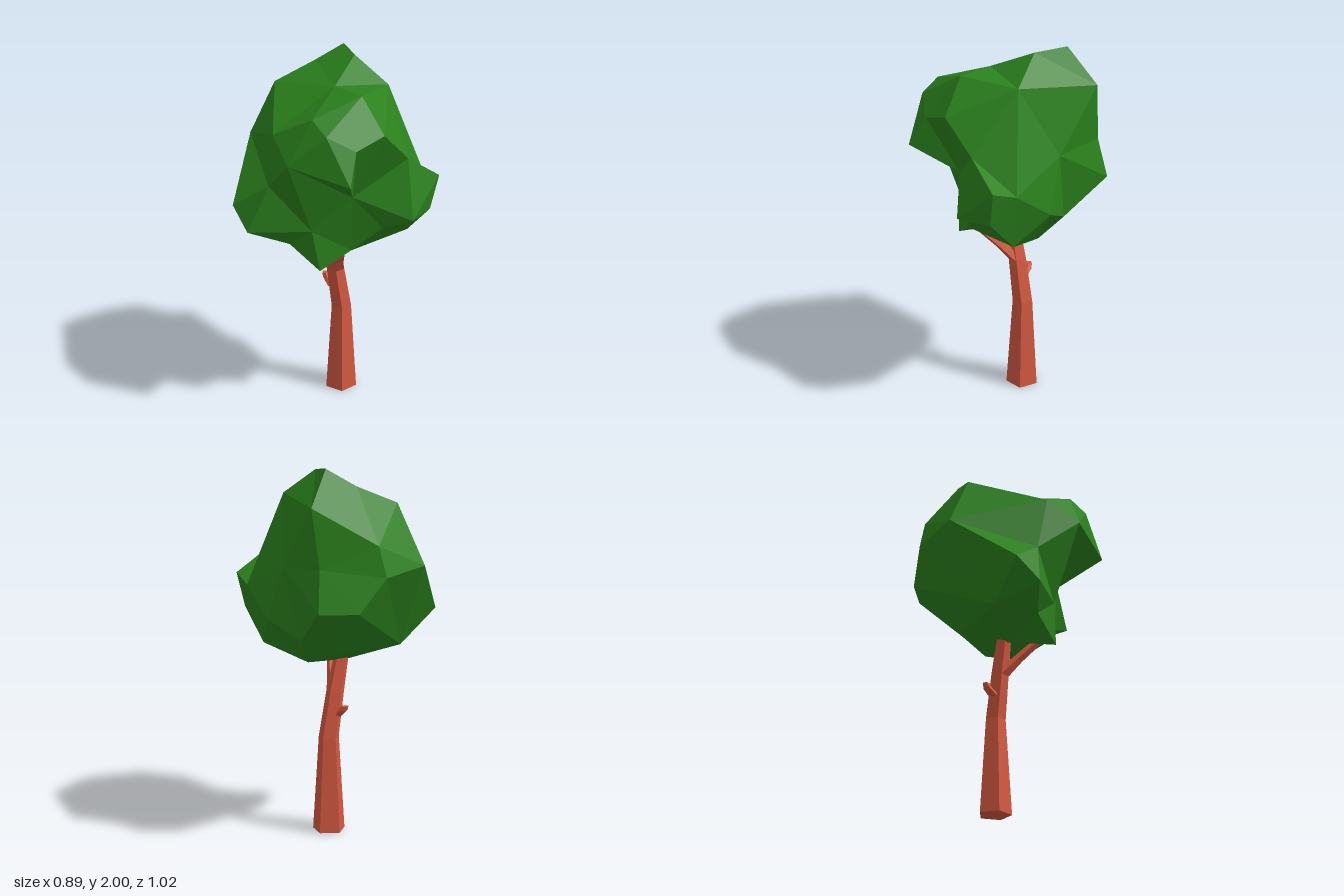
import * as THREE from 'three';
import { ConvexGeometry } from 'three/addons/geometries/ConvexGeometry.js';

const bark = new THREE.MeshStandardMaterial({ color: 0xd2583f, flatShading: true });
const leaf = new THREE.MeshStandardMaterial({ color: 0x2b821d, flatShading: true });

// Five-sided limb through level sections [x, y, z, radius], listed upwards.
function limb(name, sections) {
  const sides = 5, pos = [], index = [];
  for (const [x, y, z, r] of sections) {
    for (let i = 0; i < sides; i++) {
      const a = Math.PI * (1 + 2 * i / sides); // first corner at the back
      pos.push(x + r * Math.sin(a), y, z + r * Math.cos(a));
    }
  }
  const last = (sections.length - 1) * sides;
  for (let k = 0; k < last; k += sides) {
    for (let i = 0; i < sides; i++) {
      const j = (i + 1) % sides;
      index.push(k + i, k + j, k + sides + j, k + i, k + sides + j, k + sides + i);
    }
  }
  for (let i = 1; i < sides - 1; i++) {
    index.push(0, i + 1, i, last, last + i, last + i + 1);
  }
  const geo = new THREE.BufferGeometry();
  geo.setAttribute('position', new THREE.Float32BufferAttribute(pos, 3));
  geo.setIndex(index);
  const flat = geo.toNonIndexed();
  flat.computeVertexNormals();
  const mesh = new THREE.Mesh(flat, bark);
  mesh.name = name;
  return mesh;
}

// Lumpy crown: irregular tiers of knobs, skinned as directions around a centre
// and then pushed out to each knob's own distance.
function crown() {
  const centre = new THREE.Vector3(0, 1.42, 0);
  const tiers = [
    // top
    [[.27, 2, -.18], [.2, 1.99, -.01], [.14, 1.91, -.27], [-.02, 1.89, .09], [-.02, 1.89, .3], [.27, 1.86, .18]],
    // shoulder
    [[.42, 1.81, -.25], [-.08, 1.82, -.34], [-.36, 1.68, 0], [-.28, 1.8, .22], [-.28, 1.74, .33], [-.16, 1.66, .42], [.01, 1.71, .44]],
    // middle
    [[.405, 1.49, .01], [.4, 1.5, -.29], [.16, 1.62, -.47], [.14, 1.46, -.51], [-.14, 1.5, -.49], [-.41, 1.57, .18], [-.24, 1.5, .47], [.19, 1.54, .43]],
    // waist, with hollows at the front and one side
    [[.41, 1.36, .33], [.38, 1.41, .47], [-.06, 1.34, .28], [-.35, 1.37, -.06], [.28, 1.28, -.46], [.44, 1.28, -.33]],
    // lower bulges
    [[.44, 1.2, .11], [.34, 1.22, .45], [.16, 1.22, .51], [.08, 1.15, .36], [-.22, 1.14, .14], [-.45, 1.11, -.12], [-.44, 1.22, -.26]],
    // underside
    [[.36, 1.1, -.08], [.34, 1.04, .28], [.25, .96, 0], [-.03, 1.01, .24], [-.26, 1.03, 0], [-.19, .91, .17], [.18, 1.03, -.2], [-.2, 1.04, -.24], [0, .95, -.02]],
  ];
  const knobs = tiers.flat().map((p) => new THREE.Vector3(...p).sub(centre));
  // nearer knobs are raised a little so that edges run along the hollows
  const dirs = knobs.map((k) => k.clone().setLength(k.length() ** -0.15));
  const geo = new ConvexGeometry(dirs);
  const pos = geo.attributes.position, v = new THREE.Vector3();
  for (let i = 0; i < pos.count; i++) {
    v.fromBufferAttribute(pos, i);
    let best = 0;
    dirs.forEach((d, n) => { if (d.distanceTo(v) < dirs[best].distanceTo(v)) best = n; });
    v.copy(knobs[best]).add(centre);
    pos.setXYZ(i, v.x, v.y, v.z);
  }
  geo.computeVertexNormals();
  const mesh = new THREE.Mesh(geo, leaf);
  mesh.name = 'crown';
  return mesh;
}

export function createModel() {
  const tree = new THREE.Group();
  tree.name = 'tree';
  tree.add(
    limb('trunk', [[.122, 0, -.017, .092], [.122, .53, -.018, .058], [.078, .78, -.02, .051], [.035, .98, -.022, .042], [.01, 1.15, -.022, .035]]),
    limb('frontBranch', [[.078, .77, -.02, .05], [.03, .86, .052, .038], [-.035, .97, .145, .033], [-.06, 1.06, .2, .025]]),
    limb('branchStub', [[.085, .65, -.045, .032], [.083, .688, -.093, .027], [.08, .712, -.106, .02]]),
    crown(),
  );
  return tree;
}
